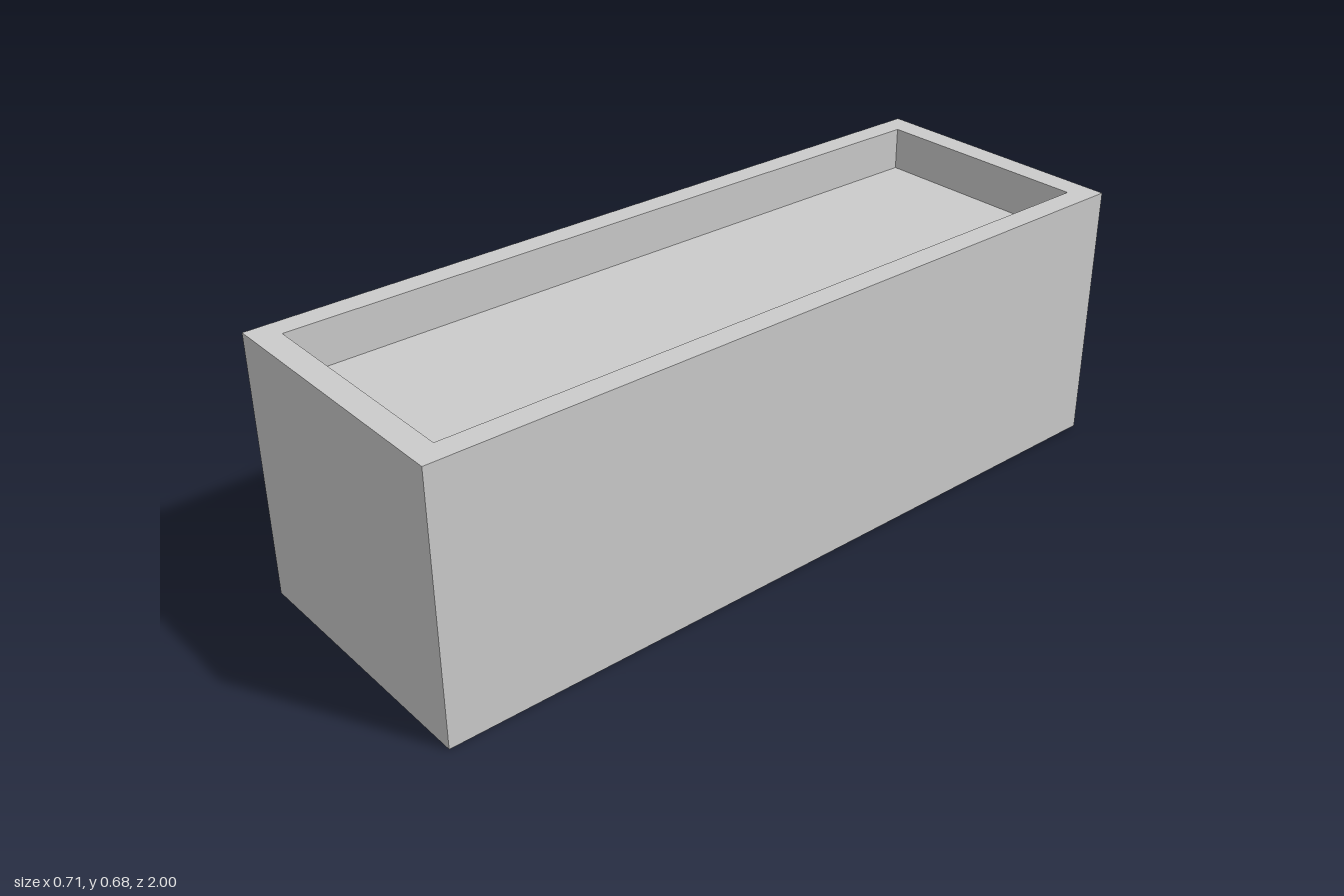
import * as THREE from 'three';

// Rectangular cross-sections [half width, height, half length], running from
// the underside up the outer wall, over the rim and down to the recessed floor.
const SECTIONS = [
  [0.354, 0, 1],
  [0.354, 0.678, 1],
  [0.295, 0.678, 0.937],
  [0.295, 0.566, 0.937],
];

// Corners of one section, counter-clockwise seen from above
const corners = ([w, y, l]) =>
  [[1, 1], [1, -1], [-1, -1], [-1, 1]].map(([sx, sz]) => [sx * w, y, sz * l]);

function createTroughGeometry() {
  const positions = [];
  const quad = (a, b, c, d) => positions.push(...a, ...b, ...c, ...a, ...c, ...d);
  const loops = SECTIONS.map(corners);

  // Outer walls, rim and inner walls
  for (let i = 0; i < loops.length - 1; i++) {
    for (let k = 0; k < 4; k++) {
      const n = (k + 1) % 4;
      quad(loops[i][k], loops[i][n], loops[i + 1][n], loops[i + 1][k]);
    }
  }
  // Underside and recessed floor
  quad(...[...loops[0]].reverse());
  quad(...loops[loops.length - 1]);

  const geometry = new THREE.BufferGeometry();
  geometry.setAttribute('position', new THREE.Float32BufferAttribute(positions, 3));
  geometry.computeVertexNormals();
  return geometry;
}

export function createModel() {
  const group = new THREE.Group();
  group.name = 'planter';
  const material = new THREE.MeshStandardMaterial({ color: 0xcccccc, flatShading: true });
  const trough = new THREE.Mesh(createTroughGeometry(), material);
  trough.name = 'trough';
  group.add(trough);
  return group;
}
